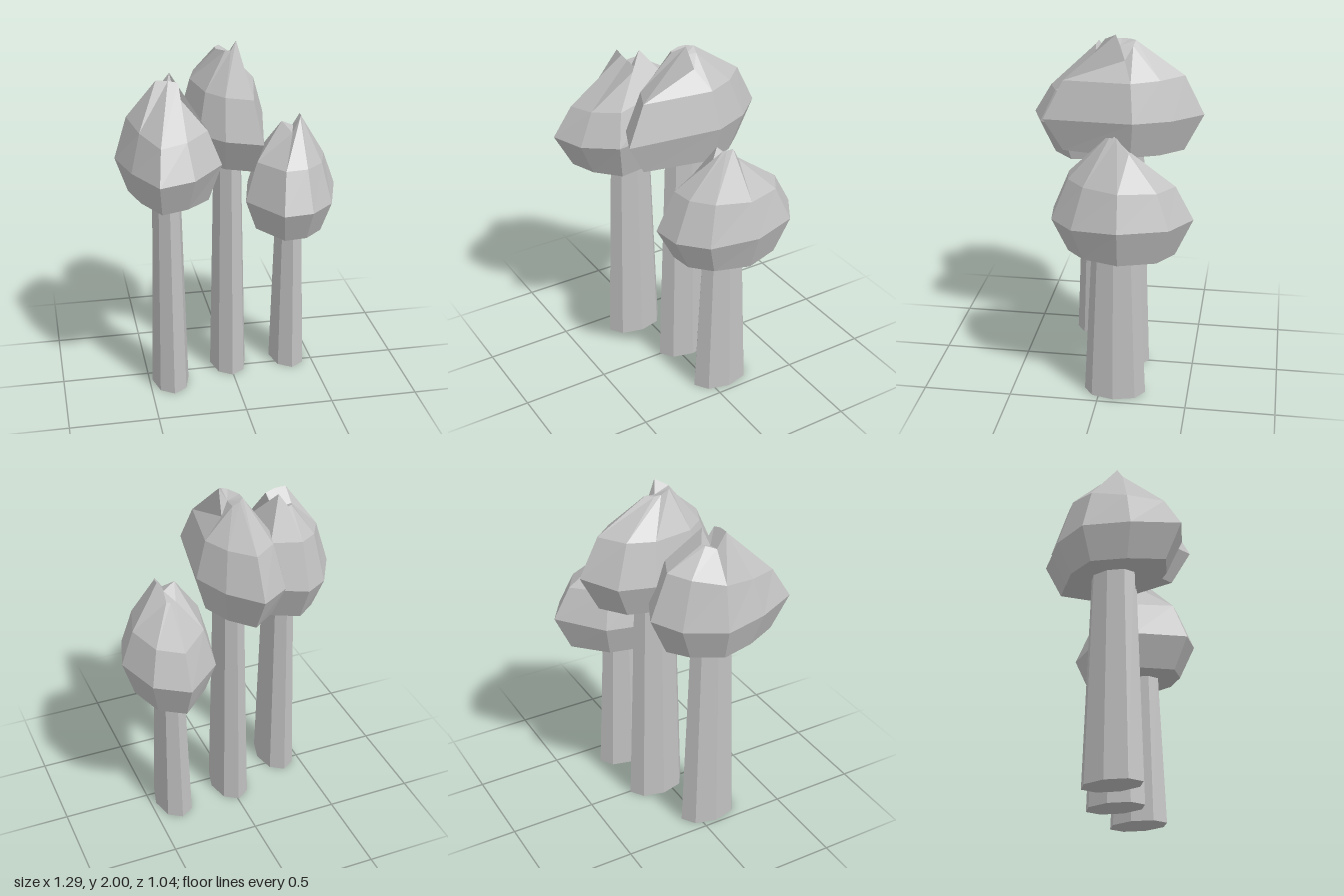
import * as THREE from 'three';

const stone = new THREE.MeshStandardMaterial({ color: 0xc0c0c0, flatShading: true });
stone.name = 'pale grey';

// rim: x, z pairs running back, right, front, left
// crown: x, y, z of the folded peak ring in the same order
const leftTree = {
  name: 'leftTree', trunk: [-0.375, 0.08], centre: [-0.375, 0.1], low: 1.2, rimY: 1.4, shoulderY: 1.62, tilt: 0.13,
  rim: [[-0.385, -0.3], [-0.18, -0.2], [-0.1, 0.295], [-0.27, 0.45], [-0.465, 0.52], [-0.585, 0.275], [-0.65, 0.02], [-0.53, -0.19]],
  crown: [[-0.385, 1.79, 0], [-0.34, 1.86, 0.03], [-0.32, 1.76, 0.06], [-0.305, 1.83, 0.125],
    [-0.36, 1.845, 0.13], [-0.425, 1.85, 0.125], [-0.435, 1.77, 0.065], [-0.41, 1.79, 0.01]],
  peak: [-0.37, 1.76, 0.065],
};
const middleTree = {
  name: 'middleTree', trunk: [-0.005, -0.065], centre: [-0.02, -0.08], low: 1.345, rimY: 1.54, shoulderY: 1.76, tilt: 0.03,
  rim: [[-0.02, -0.525], [0.13, -0.36], [0.215, -0.155], [0.115, 0.355], [-0.075, 0.27], [-0.195, 0.125], [-0.26, -0.19], [-0.2, -0.39]],
  crown: [[-0.04, 1.955, -0.14], [0, 1.93, -0.13], [0.045, 1.86, -0.09], [0.04, 2, -0.04],
    [0, 1.965, 0.025], [-0.03, 1.96, 0.01], [-0.07, 1.955, -0.06], [-0.07, 1.955, -0.1]],
  peak: [0, 1.93, -0.06],
};
const rightTree = {
  name: 'rightTree', trunk: [0.363, -0.085], centre: [0.365, -0.11], low: 0.885, rimY: 1.08, shoulderY: 1.29, tilt: -0.03,
  rim: [[0.385, -0.51], [0.56, -0.395], [0.645, -0.13], [0.565, 0.125], [0.425, 0.255], [0.255, 0.275], [0.09, 0.01], [0.16, -0.29]],
  crown: [[0.37, 1.45, -0.17], [0.39, 1.45, -0.16], [0.42, 1.545, -0.1], [0.42, 1.545, -0.06],
    [0.41, 1.54, -0.04], [0.36, 1.46, -0.01], [0.31, 1.515, -0.07], [0.335, 1.44, -0.155]],
  peak: [0.38, 1.48, -0.09],
};

// Skin a stack of equal rings and close both ends with a point
function loft(bottom, rings, top) {
  const pos = [];
  const tri = (...corners) => corners.forEach((c) => pos.push(...c));
  const n = rings[0].length;
  for (let j = 0; j < n; j++) {
    const k = (j + 1) % n;
    tri(bottom, rings[0][j], rings[0][k]);
    for (let i = 0; i < rings.length - 1; i++) {
      const a = rings[i], b = rings[i + 1];
      tri(a[j], b[j], a[k]);
      tri(a[k], b[j], b[k]);
    }
    const last = rings[rings.length - 1];
    tri(top, last[k], last[j]);
  }
  const geo = new THREE.BufferGeometry();
  geo.setAttribute('position', new THREE.Float32BufferAttribute(pos, 3));
  geo.computeVertexNormals();
  return geo;
}

function makeTree(t) {
  const tree = new THREE.Group();
  tree.name = t.name;

  // Tapered eight-sided trunk, deeper than it is wide
  const height = t.low + 0.1;
  const trunk = new THREE.Mesh(new THREE.CylinderGeometry(0.077, 0.107, height, 8), stone);
  trunk.name = 'trunk';
  trunk.scale.z = 1.63;
  trunk.position.set(t.trunk[0], height / 2, t.trunk[1]);
  tree.add(trunk);

  // Faceted canopy: base, rim, shoulder and folded crown
  const [cx, cz] = t.centre;
  const ring = (scale, heightAt) => t.rim.map(([x, z], i) =>
    [cx + (x - cx) * scale, heightAt(i, z - cz), cz + (z - cz) * scale]);
  const rings = [
    ring(0.76, () => t.low),
    ring(1, (i) => t.rimY + (i < 3 ? 0.015 : -0.01)),
    ring(0.75, (i, dz) => t.shoulderY - t.tilt * dz),
    t.crown,
  ];
  const canopy = new THREE.Mesh(loft([cx, t.low, cz], rings, t.peak), stone);
  canopy.name = 'canopy';
  tree.add(canopy);
  return tree;
}

export function createModel() {
  const model = new THREE.Group();
  model.name = 'treeCluster';
  [leftTree, middleTree, rightTree].forEach((t) => model.add(makeTree(t)));
  return model;
}
